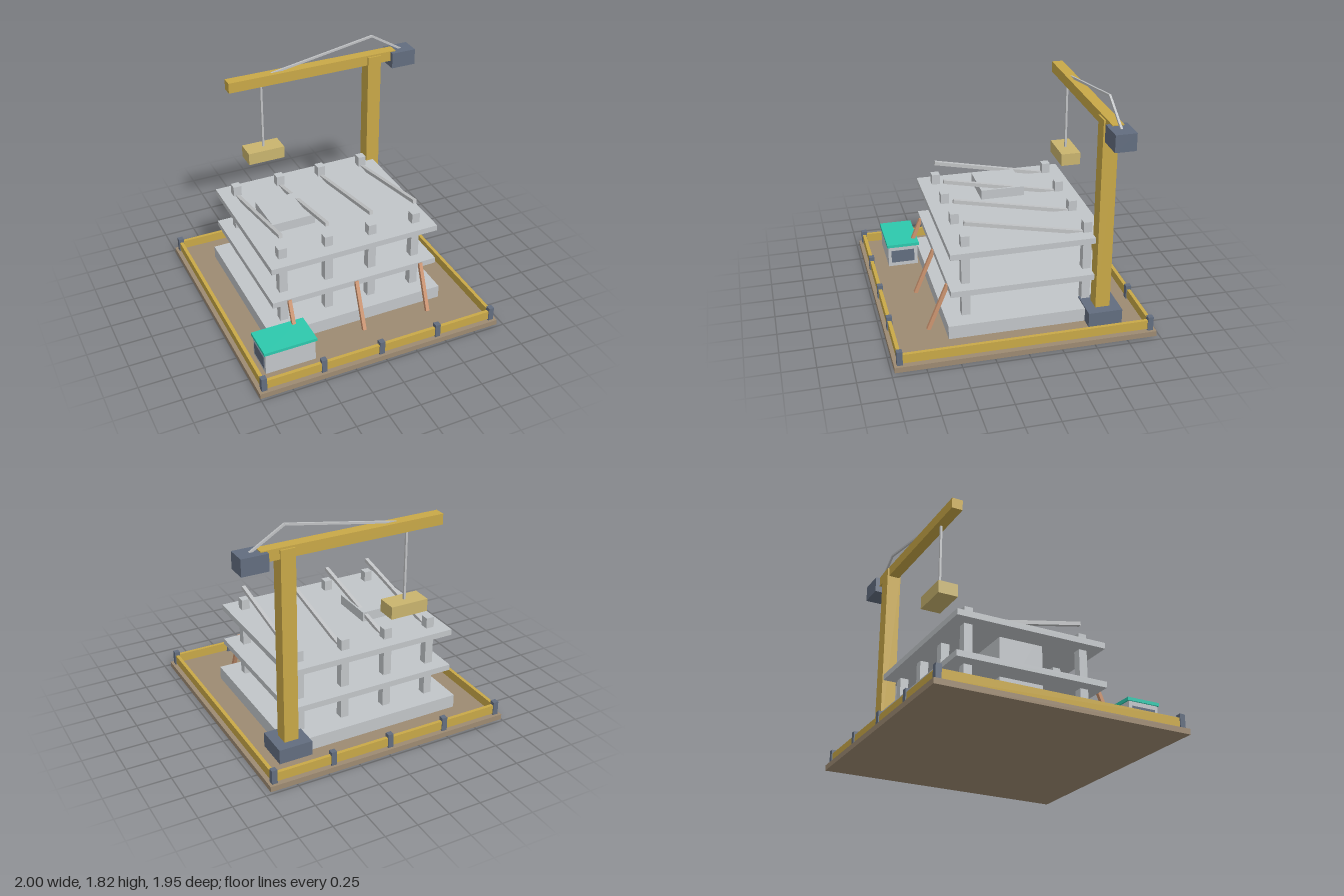
import * as THREE from 'three';

const mat = (name, color) => new THREE.MeshStandardMaterial({ name, color });

export function createModel() {
  const model = new THREE.Group();
  model.name = 'constructionSite';
  const earth = mat('earth', 0x9d8a72);
  const yellow = mat('craneYellow', 0xc8a847);
  const slate = mat('slate', 0x626d7f);
  const concrete = mat('concrete', 0xc1c5c8);
  const steel = mat('steel', 0xc0c2c4);
  const teal = mat('teal', 0x2dc8ad);
  const timber = mat('timber', 0xcc9470);
  const sand = mat('crateSand', 0xc9b46e);

  // Box given by its minimum and maximum corners
  const box = (name, m, [x0, x1], [y0, y1], [z0, z1], parent = model) => {
    const mesh = new THREE.Mesh(new THREE.BoxGeometry(x1 - x0, y1 - y0, z1 - z0), m);
    mesh.name = name;
    mesh.position.set((x0 + x1) / 2, (y0 + y1) / 2, (z0 + z1) / 2);
    parent.add(mesh);
    return mesh;
  };
  // Square bar running between two points
  const bar = (name, m, from, to, t, parent = model) => {
    const a = new THREE.Vector3(...from), b = new THREE.Vector3(...to);
    const mesh = new THREE.Mesh(new THREE.BoxGeometry(t, t, a.distanceTo(b)), m);
    mesh.name = name;
    mesh.position.copy(a).add(b).multiplyScalar(0.5);
    mesh.lookAt(b);
    parent.add(mesh);
    return mesh;
  };
  const around = (c, w) => [c - w / 2, c + w / 2];
  const group = (name) => {
    const g = new THREE.Group();
    g.name = name;
    model.add(g);
    return g;
  };

  box('ground', earth, [-1, 0.954], [0, 0.042], [-0.977, 0.977]);

  // Perimeter fence: four rails, posts along front and back
  const fence = group('fence');
  for (const z of [-0.935, 0.935]) {
    box('fenceRail', yellow, [-0.96, 0.915], [0.053, 0.123], around(z, 0.027), fence);
    for (let i = 0; i < 5; i++) {
      box('fencePost', slate, around(-0.957 + i * 0.467, 0.042), [0.04, 0.152], around(z, 0.042), fence);
    }
  }
  for (const x of [-0.957, 0.911]) {
    box('fenceRail', yellow, around(x, 0.027), [0.053, 0.123], [-0.93, 0.93], fence);
  }

  // Unfinished building
  const building = group('building');
  box('foundation', concrete, [-0.737, 0.687], [0.04, 0.147], [-0.71, 0.535], building);
  for (const y of [0.367, 0.671]) {
    box('floorSlab', concrete, [-0.7, 0.655], [y, y + 0.046], [-0.682, 0.506], building);
  }
  box('stairCore', concrete, [-0.52, -0.174], [0.14, 0.793], [-0.262, 0.084], building);
  for (const x of [-0.572, -0.204, 0.155, 0.524]) {
    for (const z of [-0.55, 0.375]) {
      box('column', concrete, around(x, 0.065), [0.14, 0.8], around(z, 0.065), building);
    }
    bar('roofBeam', steel, [x, 0.702, -0.55], [x, 0.893, 0.377], 0.029, building);
  }
  // Raking props at the front
  for (const x of [-0.57, -0.024, 0.521]) {
    bar('prop', timber, [x, 0.405, 0.506], [x, 0.045, 0.656], 0.028, building);
  }

  // Site cabin with a dark panel on each end
  const cabin = group('siteCabin');
  box('cabinWalls', concrete, [-0.883, -0.49], [0.04, 0.215], [0.555, 0.795], cabin);
  box('cabinRoof', teal, [-0.893, -0.48], [0.214, 0.238], [0.543, 0.803], cabin);
  for (const x of [-0.884, -0.489]) {
    box('cabinPanel', slate, around(x, 0.008), [0.075, 0.18], [0.583, 0.77], cabin);
  }

  // Tower crane
  const crane = group('crane');
  const cz = -0.635;
  box('craneBase', slate, [0.522, 0.782], [0.04, 0.157], around(cz, 0.26), crane);
  box('mast', yellow, around(0.65, 0.112), [0.15, 1.655], around(cz, 0.112), crane);
  box('boom', yellow, [-0.572, 0.842], [1.587, 1.67], around(cz, 0.085), crane);
  box('counterweight', slate, [0.798, 1], [1.535, 1.663], around(cz, 0.154), crane);
  bar('frontTie', steel, [-0.21, 1.662, cz], [0.652, 1.812, cz], 0.016, crane);
  bar('rearTie', steel, [0.648, 1.812, cz], [0.905, 1.658, cz], 0.016, crane);
  box('hoistCable', steel, around(-0.298, 0.016), [1.04, 1.59], around(cz, 0.016), crane);
  box('hoistedLoad', sand, [-0.449, -0.149], [0.947, 1.045], around(cz, 0.154), crane);

  return model;
}
